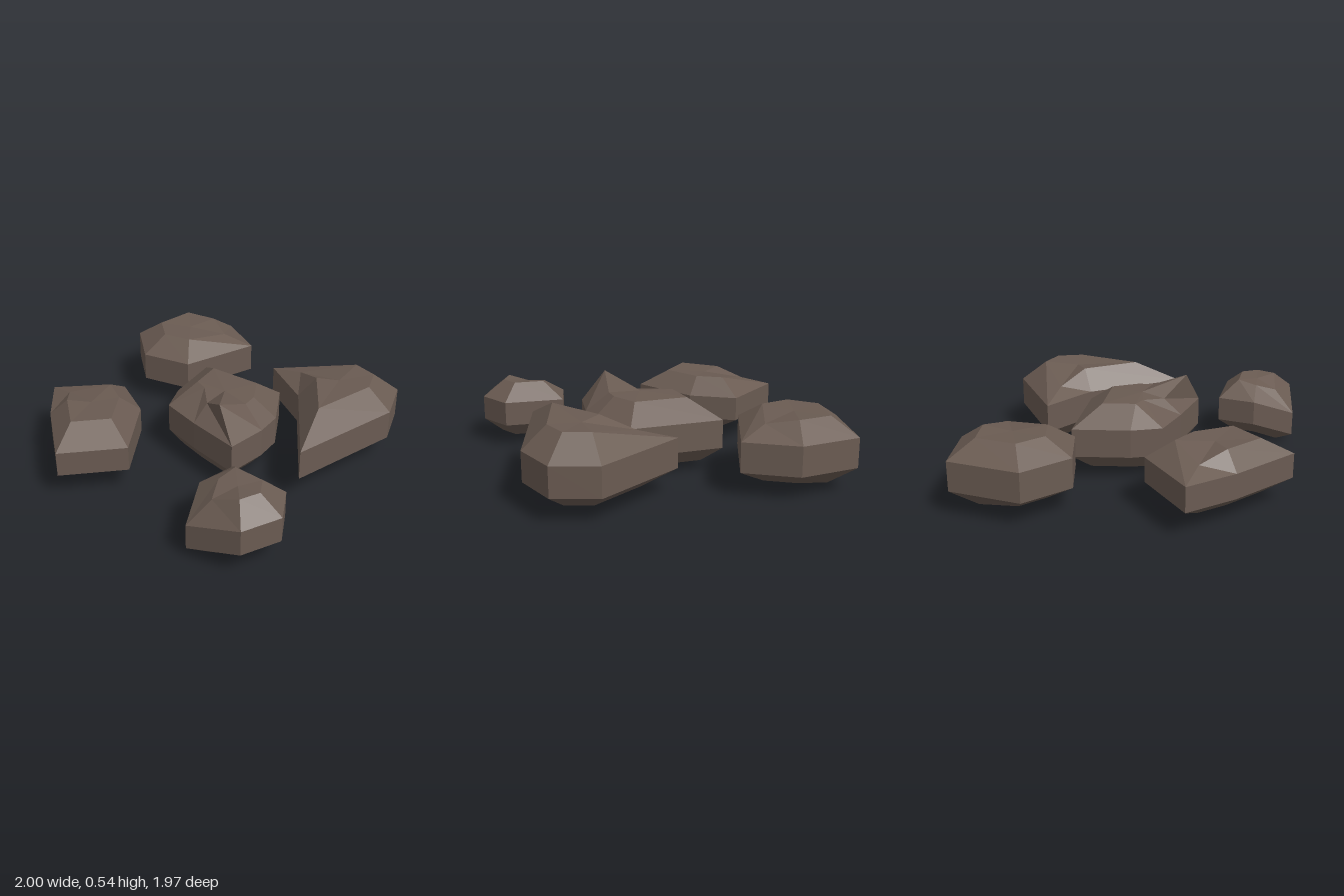
import * as THREE from 'three';

// Each rock: a plan outline [x, z] that is shrunk into a flat crown and underside.
// crownLift, wallLift and baseLift raise or lower single corners by index.
const ROCKS = [
  {
    name: 'backLeftRock', base: 0.06, low: 0.155, high: 0.34, top: 0.445, crownScale: 0.56, baseScale: 0.56,
    outline: [[-0.91, -0.95], [-0.53, -0.99], [-0.23, -0.81], [-0.42, -0.32], [-0.75, -0.26], [-1, -0.5]],
    crownLift: { 2: -0.035 },
    baseLift: { 0: -0.03 },
  },
  {
    name: 'backRightRock', base: 0.055, low: 0.155, high: 0.34, top: 0.475, crownScale: 0.57, baseScale: 0.6,
    outline: [[0.62, -0.94], [0.89, -0.85], [0.98, -0.56], [0.77, 0.16], [0.41, -0.4], [0.08, -0.62]],
    crownLift: { 5: -0.075 },
  },
  {
    name: 'middleRock', base: 0.055, low: 0.155, high: 0.335, top: 0.453, crownScale: 0.57, baseScale: 0.74,
    outline: [[-0.3, -0.37], [0.29, -0.37], [0.44, -0.09], [0.45, 0.08], [0.41, 0.34], [0.07, 0.26], [-0.19, 0.18], [-0.26, -0.01]],
    crownLift: { 4: 0.087, 5: -0.02 },
    crownMove: { 4: [0.27, 0.27], 6: [-0.02, 0.03] }, // pointed peak and notch
  },
  {
    name: 'frontLeftRock', base: 0.07, low: 0.155, high: 0.31, top: 0.415, crownScale: 0.57, baseScale: 0.58,
    outline: [[-0.6, 0.13], [-0.33, 0.29], [-0.1, 0.68], [-0.4, 0.98], [-0.75, 0.67], [-0.97, 0.41]],
    crownLift: { 5: -0.055 },
  },
  {
    name: 'frontRightRock', base: 0.06, low: 0.155, high: 0.31, top: 0.415, crownScale: 0.5, baseScale: 0.58,
    outline: [[0.51, 0.47], [0.89, 0.5], [1, 0.71], [0.89, 0.94], [0.55, 0.97], [0.45, 0.71]],
    crownLift: { 4: -0.065, 5: -0.025 },
    wallLift: { 4: -0.095 },
    baseLift: { 4: -0.06 },
  },
];

const mean = (ring) => ring[0].map((_, k) => ring.reduce((sum, p) => sum + p[k], 0) / ring.length);

function rockGeometry(rock) {
  const { outline } = rock;
  const [cx, cz] = mean(outline);
  const ring = (y, scale, lift = {}, move = {}) => outline.map(([x, z], i) => {
    const [px, pz] = move[i] || [cx + (x - cx) * scale, cz + (z - cz) * scale];
    return [px, y + (lift[i] || 0), pz];
  });
  const bottom = ring(rock.base, rock.baseScale, rock.baseLift);
  const crown = ring(rock.top, rock.crownScale, rock.crownLift, rock.crownMove);
  const rings = [bottom, ring(rock.low, 1, rock.wallLift), ring(rock.high, 1, rock.wallLift), crown];
  const under = mean(bottom);
  const peak = mean(crown);

  const positions = [];
  const tri = (...points) => points.forEach((p) => positions.push(...p));
  for (let i = 0; i < outline.length; i++) {
    const j = (i + 1) % outline.length;
    // Lower bevel, upright wall and upper bevel
    for (let r = 0; r < 3; r++) {
      const a = rings[r], b = rings[r + 1];
      tri(a[i], b[i], b[j]);
      tri(a[i], b[j], a[j]);
    }
    // Caps
    tri(under, bottom[i], bottom[j]);
    tri(peak, crown[j], crown[i]);
  }
  const geometry = new THREE.BufferGeometry();
  geometry.setAttribute('position', new THREE.Float32BufferAttribute(positions, 3));
  geometry.computeVertexNormals(); // unshared corners give flat facets
  return geometry;
}

export function createModel() {
  const group = new THREE.Group();
  group.name = 'rocks';
  const stone = new THREE.MeshStandardMaterial({ color: 0x6a5b52 });
  stone.name = 'brown stone';
  for (const rock of ROCKS) {
    const mesh = new THREE.Mesh(rockGeometry(rock), stone);
    mesh.name = rock.name;
    group.add(mesh);
  }
  return group;
}
